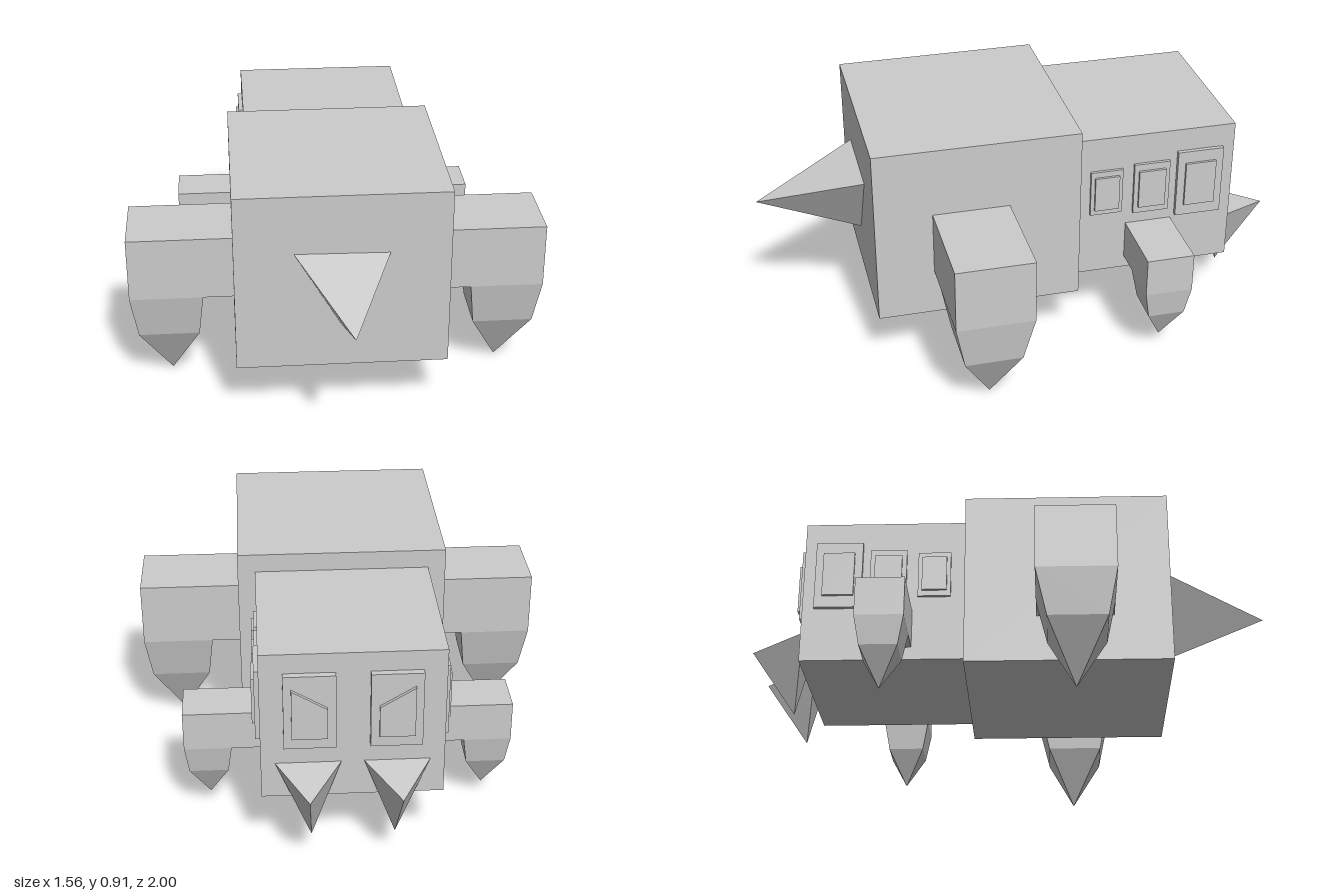
import * as THREE from 'three';
import { ConvexGeometry } from 'three/addons/geometries/ConvexGeometry.js';

const material = new THREE.MeshStandardMaterial({ color: 0xcccccc, flatShading: true });

function add(parent, name, geometry) {
  const mesh = new THREE.Mesh(geometry, material);
  mesh.name = name;
  parent.add(mesh);
  return mesh;
}

// Box given by its extents on each axis
function box(parent, name, [x0, x1], [y0, y1], [z0, z1]) {
  const g = new THREE.BoxGeometry(Math.abs(x1 - x0), y1 - y0, z1 - z0);
  g.translate((x0 + x1) / 2, (y0 + y1) / 2, (z0 + z1) / 2);
  return add(parent, name, g);
}

// Convex solid spanned by its corner points
function solid(parent, name, points) {
  return add(parent, name, new ConvexGeometry(points.map((p) => new THREE.Vector3(...p))));
}

// Four corners of a level rectangle
function ring(s, y, [x0, x1], [z0, z1]) {
  return [[s * x0, y, z0], [s * x1, y, z0], [s * x1, y, z1], [s * x0, y, z1]];
}

// Shoulder block with a tapered, pointed leg under its outer end
function leg(parent, name, s, d) {
  const group = new THREE.Group();
  group.name = name;
  box(group, 'shoulder', [s * d.root, s * d.top[1]], [d.yTop, d.yShoulder].reverse(), d.z);
  solid(group, 'claw', [
    ...ring(s, d.yShoulder, d.top, d.z),
    ...ring(s, d.yKnee, d.knee, d.zKnee),
    [s * d.tip[0], d.tip[1], d.tip[2]],
  ]);
  parent.add(group);
}

export function createModel() {
  const model = new THREE.Group();
  model.name = 'blockCreature';

  // Two-part body
  box(model, 'frontBody', [-0.39, 0.39], [0.22, 0.91], [-0.17, 0.605]);
  box(model, 'rearBody', [-0.325, 0.325], [0.26, 0.84], [-0.79, -0.17]);

  // Pointed spike on the front
  solid(model, 'spike', [[-0.175, 0.685, 0.605], [0.17, 0.68, 0.605], [-0.005, 0.39, 0.605], [0.01, 0.565, 1.0]]);

  const frontLeg = {
    root: 0.39, top: [0.505, 0.78], z: [0.1, 0.39], yTop: 0.645, yShoulder: 0.4,
    yKnee: 0.225, knee: [0.525, 0.755], zKnee: [0.14, 0.355], tip: [0.637, 0.005, 0.24],
  };
  const rearLeg = {
    root: 0.325, top: [0.43, 0.605], z: [-0.55, -0.37], yTop: 0.46, yShoulder: 0.31,
    yKnee: 0.2, knee: [0.445, 0.59], zKnee: [-0.53, -0.39], tip: [0.517, 0.06, -0.46],
  };

  // Side eye panels: z centre, y centre, plate width and height, inner width and height, thickness
  const sideEyes = [
    [-0.288, 0.612, 0.125, 0.185, 0.095, 0.14, 0.011],
    [-0.465, 0.612, 0.14, 0.21, 0.105, 0.155, 0.012],
    [-0.655, 0.612, 0.18, 0.275, 0.12, 0.18, 0.016],
  ];

  for (const s of [-1, 1]) {
    const side = s > 0 ? 'left' : 'right';
    leg(model, side + 'FrontLeg', s, frontLeg);
    leg(model, side + 'RearLeg', s, rearLeg);

    // Fang below the rear eyes
    solid(model, side + 'Fang', [
      [s * 0.275, 0.4, -0.79], [s * 0.04, 0.4, -0.79],
      [s * 0.16, 0.37, -1.0], [s * 0.15, 0.115, -0.825],
    ]);

    // Rear eye: plate with a raised pane slanting down to the middle
    box(model, side + 'RearEyePlate', [s * 0.06, s * 0.243], [0.475, 0.765], [-0.815, -0.79]);
    const pane = [[0.09, 0.52], [0.215, 0.52], [0.215, 0.715], [0.09, 0.64]];
    solid(model, side + 'RearEyePane',
      [-0.828, -0.81].flatMap((z) => pane.map(([x, y]) => [s * x, y, z])));

    // Row of eyes along the side
    sideEyes.forEach(([z, y, w, h, iw, ih, t], i) => {
      const x = 0.325 + t;
      box(model, `${side}SideEyePlate${i + 1}`, [s * 0.32, s * x], [y - h / 2, y + h / 2], [z - w / 2, z + w / 2]);
      box(model, `${side}SideEyePane${i + 1}`, [s * 0.32, s * (x + 0.01)],
        [y - ih / 2, y + ih / 2], [z - iw / 2, z + iw / 2]);
    });
  }
  return model;
}
